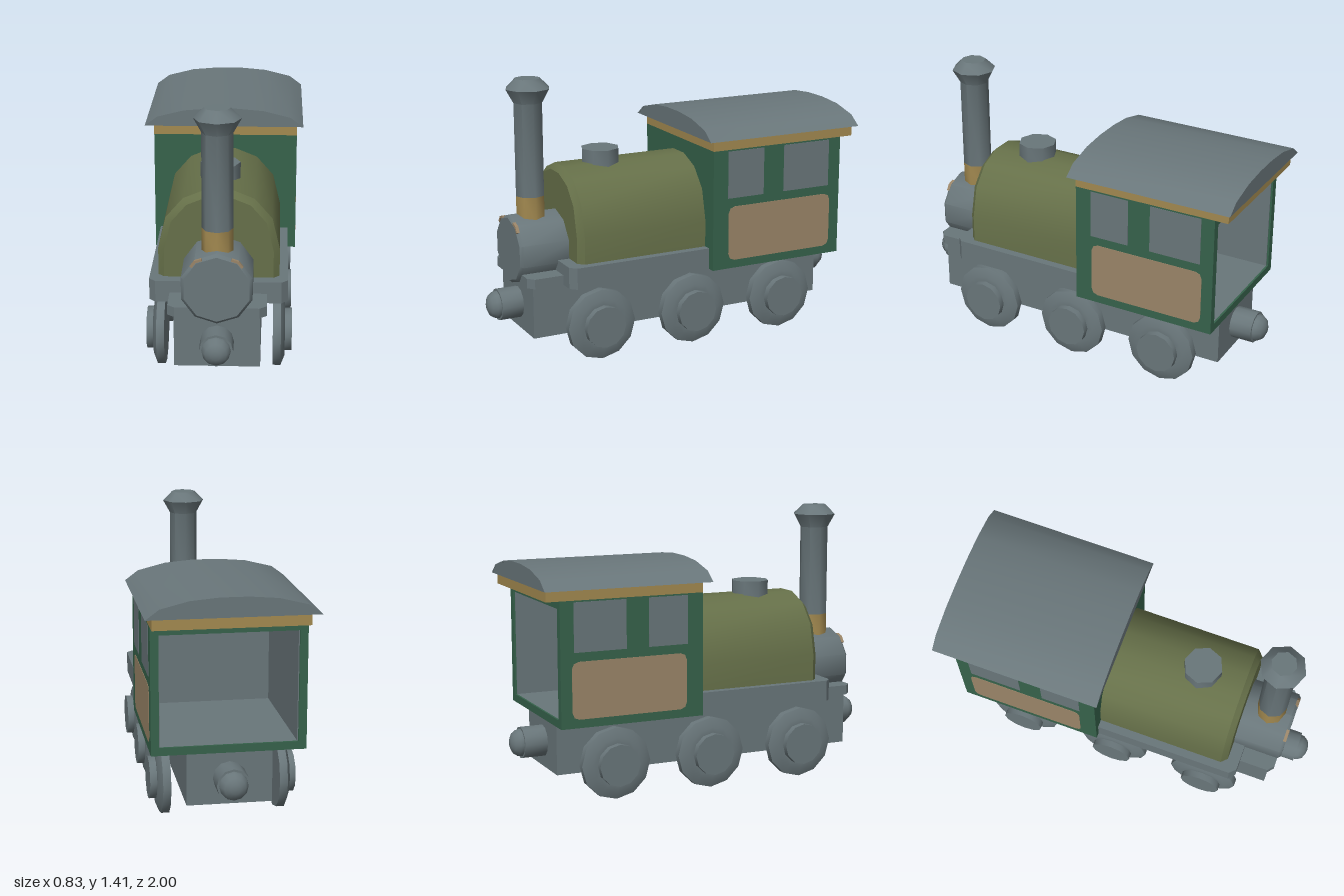
import * as THREE from 'three';
import { toCreasedNormals } from 'three/addons/utils/BufferGeometryUtils.js';

const mat = (name, color) => {
  const m = new THREE.MeshStandardMaterial({ color });
  m.name = name;
  return m;
};

export function createModel() {
  const steel = mat('steel grey', 0x69767a);
  const green = mat('cab green', 0x36624b);
  const olive = mat('boiler olive', 0x667049);
  const brass = mat('brass', 0xa28950);
  const tan = mat('panel tan', 0x9a8568);

  const model = new THREE.Group();
  model.name = 'steamEngine';

  const add = (name, geometry, material) => {
    const mesh = new THREE.Mesh(geometry, material);
    mesh.name = name;
    model.add(mesh);
    return mesh;
  };
  // box given by its limits on each axis
  const box = (name, material, x0, x1, y0, y1, z0, z1) => {
    const g = new THREE.BoxGeometry(x1 - x0, y1 - y0, z1 - z0);
    g.translate((x0 + x1) / 2, (y0 + y1) / 2, (z0 + z1) / 2);
    return add(name, g, material);
  };
  // faceted solid of revolution around y, with crisp rims
  const turned = (points, sides, start = 0) => toCreasedNormals(
    new THREE.LatheGeometry(points.map(([r, y]) => new THREE.Vector2(r, y)), sides, start), 0.8);
  const outline = (points) => new THREE.Shape(points.map(([x, y]) => new THREE.Vector2(x, y)));
  const mirrorPoints = (half) => [...half, ...half.slice().reverse().map(([x, y]) => [-x, y])];
  // closed outline from its right half, listed bottom to top
  const mirrored = (half) => outline(mirrorPoints(half));
  const extrude = (shape, depth) => new THREE.ExtrudeGeometry(shape, { depth, bevelEnabled: false });
  // flat deck from a plan outline in x and z
  const deck = (name, half, y0, y1) => {
    const g = extrude(mirrored(half), y1 - y0);
    g.rotateX(Math.PI / 2).translate(0, y1, 0);
    return add(name, g, steel);
  };

  // Hollow frame, open underneath
  const w = 0.005;
  box('frameTop', steel, -0.21, 0.21, 0.4 - w, 0.4, -0.825, 0.83);
  box('frameRightPlate', steel, -0.21, -0.21 + w, 0.13, 0.4 - w, -0.825, 0.83);
  box('frameLeftPlate', steel, 0.21 - w, 0.21, 0.13, 0.4 - w, -0.825, 0.83);
  box('frameFrontPlate', steel, -0.21 + w, 0.21 - w, 0.13, 0.4 - w, 0.83 - w, 0.83);
  box('frameRearPlate', steel, -0.21 + w, 0.21 - w, 0.13, 0.4 - w, -0.825, -0.825 + w);

  // Decks
  deck('runningBoard', [[0.342, -0.11], [0.342, 0.645], [0.31, 0.677]], 0.4, 0.51);
  deck('frontDeck', [[0.24, 0.6], [0.24, 0.83], [0.205, 0.86]], 0.4, 0.45);

  // Wheels with hubs, three on each side
  const wheelGeo = turned([[0, 0.27], [0.184, 0.27], [0.184, 0.31], [0.135, 0.33],
    [0.108, 0.33], [0.108, 0.365], [0, 0.365]], 12, Math.PI / 2);
  wheelGeo.rotateZ(-Math.PI / 2);
  for (const z of [0.5, -0.02, -0.545]) {
    for (const side of [1, -1]) {
      const wheel = add(side > 0 ? 'leftWheel' : 'rightWheel', wheelGeo, steel);
      wheel.position.set(0, 0.185, z);
      if (side < 0) wheel.rotation.y = Math.PI;
    }
  }

  // Buffers at both ends: a shaft with a smaller domed cap
  const bufferGeo = turned([[0, 0.822], [0.082, 0.822], [0.082, 0.944], [0.071, 0.944],
    [0.068, 0.962], [0.052, 0.985], [0.025, 0.997], [0, 1]], 12);
  bufferGeo.rotateX(Math.PI / 2);
  add('frontBuffer', bufferGeo, steel).position.y = 0.264;
  const rear = add('rearBuffer', bufferGeo, steel);
  rear.position.y = 0.264;
  rear.rotation.y = Math.PI;

  // Boiler: arched section with a bevelled front rim, its rear buried in the cab wall
  const arch = mirrored([[0.3, 0.45], [0.3, 0.65], [0.262, 0.81], [0.175, 0.91], [0.06, 0.957]]);
  const boiler = new THREE.ExtrudeGeometry(arch, {
    depth: 0.685, bevelThickness: 0.03, bevelSize: 0.03, bevelOffset: -0.03, bevelSegments: 1,
  });
  add('boiler', toCreasedNormals(boiler, 0.65), olive).position.z = -0.1;

  // Smokebox with two tan clasps set into its rim, each bent over one corner
  const smokebox = turned([[0, 0.58], [0.18, 0.58], [0.18, 0.86], [0.165, 0.875], [0, 0.875]], 10);
  smokebox.rotateX(Math.PI / 2);
  add('smokebox', smokebox, steel).position.y = 0.55;
  for (const side of [1, -1]) {
    for (const [facet, shift] of [[0.1, 0.038], [0.3, -0.038]]) {
      const g = new THREE.BoxGeometry(0.036, 0.012, 0.016);
      g.translate(side * shift, 0.166, 0.868).rotateZ(-side * facet * Math.PI);
      add('smokeboxClasp', g, tan).position.y = 0.55;
    }
  }

  // Chimney and steam dome
  const chimneyBase = turned([[0, 0.69], [0.076, 0.69], [0.076, 0.82], [0, 0.82]], 8);
  add('chimneyBase', chimneyBase, brass).position.z = 0.75;
  const chimney = turned([[0.076, 0.82], [0.076, 1.295], [0.115, 1.365], [0.064, 1.415], [0, 1.415]], 8);
  add('chimney', chimney, steel).position.z = 0.75;
  const dome = turned([[0.1, 0.9], [0.1, 1.025], [0, 1.025]], 8);
  add('steamDome', dome, steel).position.z = 0.36;

  // Cab walls, open at the back
  const xr = -0.37, xl = 0.384, t = 0.04, thin = 0.04, edge = 0.01;
  const front = -0.095, back = -0.855, low = 0.4, high = 1.03;
  box('rightCabWall', green, xr, xr + t, low, high, back, front);
  box('leftCabWall', green, xl - t, xl, low, high, back, front);
  box('frontCabWall', green, xr + t, xl - t, low, high, front - thin, front);
  box('backLintel', green, xr + t, xl - t, high - t, high, back, back + edge);
  box('backSill', green, xr + t, xl - t, low, low + t, back, back + edge);
  box('cabFloor', steel, xr + t, xl - t, low + 0.004, low + t, back + edge, front - thin);

  // Grey lining inside the cab
  const e = 0.005;
  box('rightLining', steel, xr + t, xr + t + e, low + t, high, back + edge, front - thin);
  box('leftLining', steel, xl - t - e, xl - t, low + t, high, back + edge, front - thin);
  box('frontLining', steel, xr + t, xl - t, low + t, high, front - thin - e, front - thin);

  // Side windows and panels as thin plates
  const cut = 0.035, plate = 0.002;
  const panelShape = outline([[0.185 + cut, 0.443], [0.797 - cut, 0.443], [0.787, 0.453], [0.797, 0.443 + cut],
    [0.797, 0.73 - cut], [0.787, 0.72], [0.797 - cut, 0.73], [0.185 + cut, 0.73], [0.195, 0.72],
    [0.185, 0.73 - cut], [0.185, 0.443 + cut], [0.195, 0.453]]);
  const panelGeo = extrude(panelShape, plate);
  panelGeo.rotateY(Math.PI / 2);
  for (const [name, x] of [['right', xr - plate], ['left', xl]]) {
    for (const [z0, z1] of [[-0.39, -0.18], [-0.785, -0.51]]) {
      box(name + 'Window', steel, x, x + plate, 0.775, 1.022, z0, z1);
    }
    add(name + 'Panel', panelGeo, tan).position.x = x;
  }

  // Brass trim ring under the roof
  const trimShape = outline([[xr, 0.095], [xl, 0.095], [xl, 0.925], [xr, 0.925]]);
  trimShape.holes.push(outline([[xr + t, 0.095 + t], [xr + t, 0.925 - t], [xl - t, 0.925 - t], [xl - t, 0.095 + t]]));
  const trim = extrude(trimShape, 0.055);
  trim.rotateX(-Math.PI / 2).translate(0, 1.03, 0);
  add('roofTrim', trim, brass);

  // Arched roof shell with closed gables
  const outer = [[0.417, 1.085], [0.35, 1.135], [0.21, 1.17], [0.07, 1.182]];
  const inner = [[0.405, 1.085], [0.347, 1.127], [0.209, 1.162], [0.07, 1.174]];
  const shell = outline([...mirrorPoints(outer), ...mirrorPoints(inner).reverse()]);
  add('roof', toCreasedNormals(extrude(shell, 0.885), 0.5), steel).position.z = -0.945;
  for (const z of [-0.944, -0.069]) {
    add('roofGable', extrude(mirrored(inner), 0.008), steel).position.z = z;
  }

  return model;
}
